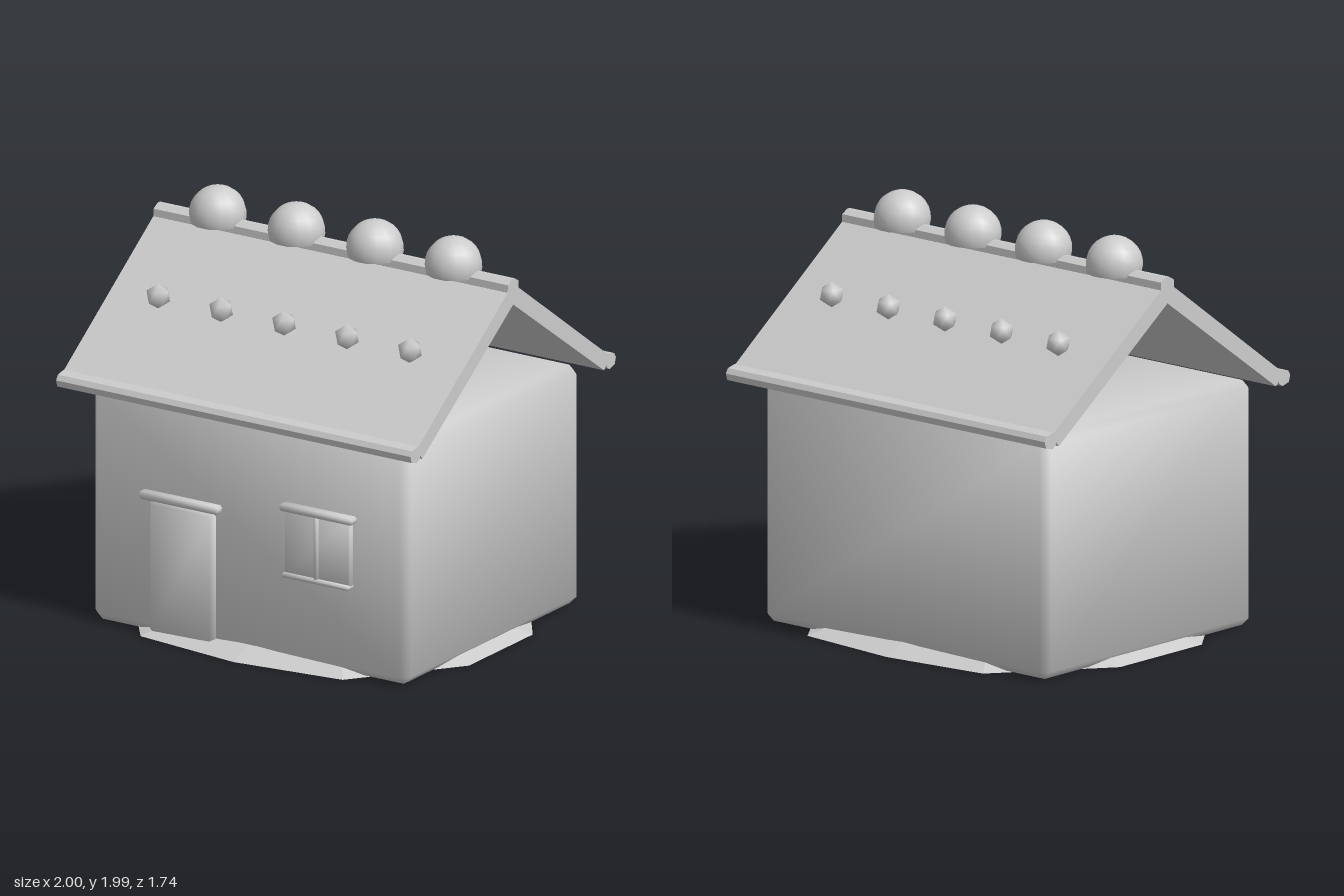
import * as THREE from 'three';
import { ConvexGeometry } from 'three/addons/geometries/ConvexGeometry.js';

export function createModel() {
  const house = new THREE.Group();
  house.name = 'house';
  const clay = new THREE.MeshStandardMaterial({ color: 0xcccccc });
  clay.name = 'light grey';

  const add = (name, geometry, x = 0, y = 0, z = 0) => {
    const mesh = new THREE.Mesh(geometry, clay);
    mesh.name = name;
    mesh.position.set(x, y, z);
    house.add(mesh);
    return mesh;
  };

  // Chamfered box, shaded softly across its faces
  const bevelBox = (name, [x0, x1], [y0, y1], [z0, z1], bevel) => {
    const half = [(x1 - x0) / 2, (y1 - y0) / 2, (z1 - z0) / 2];
    const points = [];
    for (const sx of [-1, 1]) for (const sy of [-1, 1]) for (const sz of [-1, 1]) {
      const s = [sx, sy, sz];
      for (let axis = 0; axis < 3; axis++) {
        points.push(new THREE.Vector3(...half.map((h, i) => s[i] * (i === axis ? h : h - bevel))));
      }
    }
    const geometry = new ConvexGeometry(points);
    const pos = geometry.attributes.position;
    const normal = geometry.attributes.normal;
    for (let i = 0; i < pos.count; i++) {
      const p = [pos.getX(i), pos.getY(i), pos.getZ(i)];
      const n = p.map((v, k) => Math.sign(v) * (Math.abs(v) > half[k] - bevel / 2 ? 0.85 : 0.37));
      normal.setXYZ(i, ...n);
    }
    geometry.normalizeNormals();
    return add(name, geometry, (x0 + x1) / 2, (y0 + y1) / 2, (z0 + z1) / 2);
  };

  // Profile in (z, y) swept along the full roof length
  const sweep = (name, profile) => {
    const shape = new THREE.Shape(profile.map(([z, y]) => new THREE.Vector2(z, y)));
    const geometry = new THREE.ExtrudeGeometry(shape, { depth: 2, bevelEnabled: false });
    geometry.rotateY(-Math.PI / 2).translate(1, 0, 0);
    return add(name, geometry);
  };

  // Walls
  bevelBox('walls', [-0.89, 0.89], [0.005, 1.19], [-0.74, 0.74], 0.04);

  // Door and its lintel
  bevelBox('door', [-0.555, -0.185], [0.01, 0.67], [0.68, 0.765], 0.02);
  bevelBox('doorLintel', [-0.595, -0.15], [0.672, 0.712], [0.7, 0.785], 0.01);

  // Window
  bevelBox('windowPane', [0.22, 0.59], [0.445, 0.785], [0.7, 0.772], 0.008);
  bevelBox('windowLintel', [0.2, 0.61], [0.765, 0.8], [0.7, 0.79], 0.01);
  bevelBox('windowSill', [0.215, 0.592], [0.438, 0.463], [0.7, 0.79], 0.008);
  bevelBox('windowMullion', [0.39, 0.416], [0.455, 0.77], [0.7, 0.785], 0.007);

  // Roof slopes with eave rolls
  for (const side of [1, -1]) {
    const label = side > 0 ? 'front' : 'back';
    const mirror = (profile) => profile.map(([z, y]) => [z * side, y]);
    sweep(label + 'RoofSlope', mirror([[0, 1.717], [0.77, 1.17], [0.82, 1.228], [0.03, 1.8], [0, 1.8]]));
    sweep(label + 'EaveRoll', mirror([
      [0.815, 1.163], [0.86, 1.175], [0.87, 1.208], [0.855, 1.232], [0.807, 1.243], [0.785, 1.21], [0.792, 1.18],
    ]));
  }

  // Ridge roll
  sweep('ridgeRoll', [
    [0, 1.765], [0.035, 1.775], [0.047, 1.79], [0.045, 1.825], [0.01, 1.845],
    [-0.01, 1.845], [-0.045, 1.825], [-0.047, 1.79], [-0.035, 1.775],
  ]);

  // Domes along the ridge, closed underneath
  const radius = 0.137, cut = 0.04;
  const dome = new THREE.SphereGeometry(radius, 14, 8, 0, Math.PI * 2, 0, Math.acos(-cut / radius));
  const base = new THREE.CircleGeometry(Math.sqrt(radius * radius - cut * cut), 14).rotateX(Math.PI / 2);
  for (const x of [-0.667, -0.223, 0.22, 0.663]) {
    add('ridgeDome', dome, x, 1.853, 0);
    add('ridgeDomeBase', base, x, 1.853 - cut, 0);
  }

  // Small studs on both slopes
  const stud = new THREE.IcosahedronGeometry(0.062, 0);
  stud.rotateZ(-0.5536);
  stud.setAttribute('normal', stud.attributes.position.clone());
  stud.normalizeNormals();
  for (const z of [0.44, -0.447]) {
    for (let i = -2; i <= 2; i++) add('roofStud', stud, i * 0.355, 1.56, z);
  }

  // Uneven ten-sided patch of ground with sloping rim
  const rim = [
    [0, 0.87], [0.57, 0.8], [0.95, 0.3], [0.95, -0.24], [0.55, -0.8],
    [0, -0.86], [-0.55, -0.8], [-0.95, -0.28], [-0.95, 0.3], [-0.57, 0.8],
  ];
  const ground = new THREE.CylinderGeometry(0.86, 1, 0.05, 10).toNonIndexed();
  const p = ground.attributes.position;
  for (let i = 0; i < p.count; i++) {
    const r = Math.hypot(p.getX(i), p.getZ(i));
    const k = (Math.round(Math.atan2(p.getX(i), p.getZ(i)) / (Math.PI / 5)) + 10) % 10;
    p.setXYZ(i, rim[k][0] * r, p.getY(i) + 0.025, rim[k][1] * r);
  }
  ground.computeVertexNormals();
  add('groundPatch', ground);

  return house;
}
